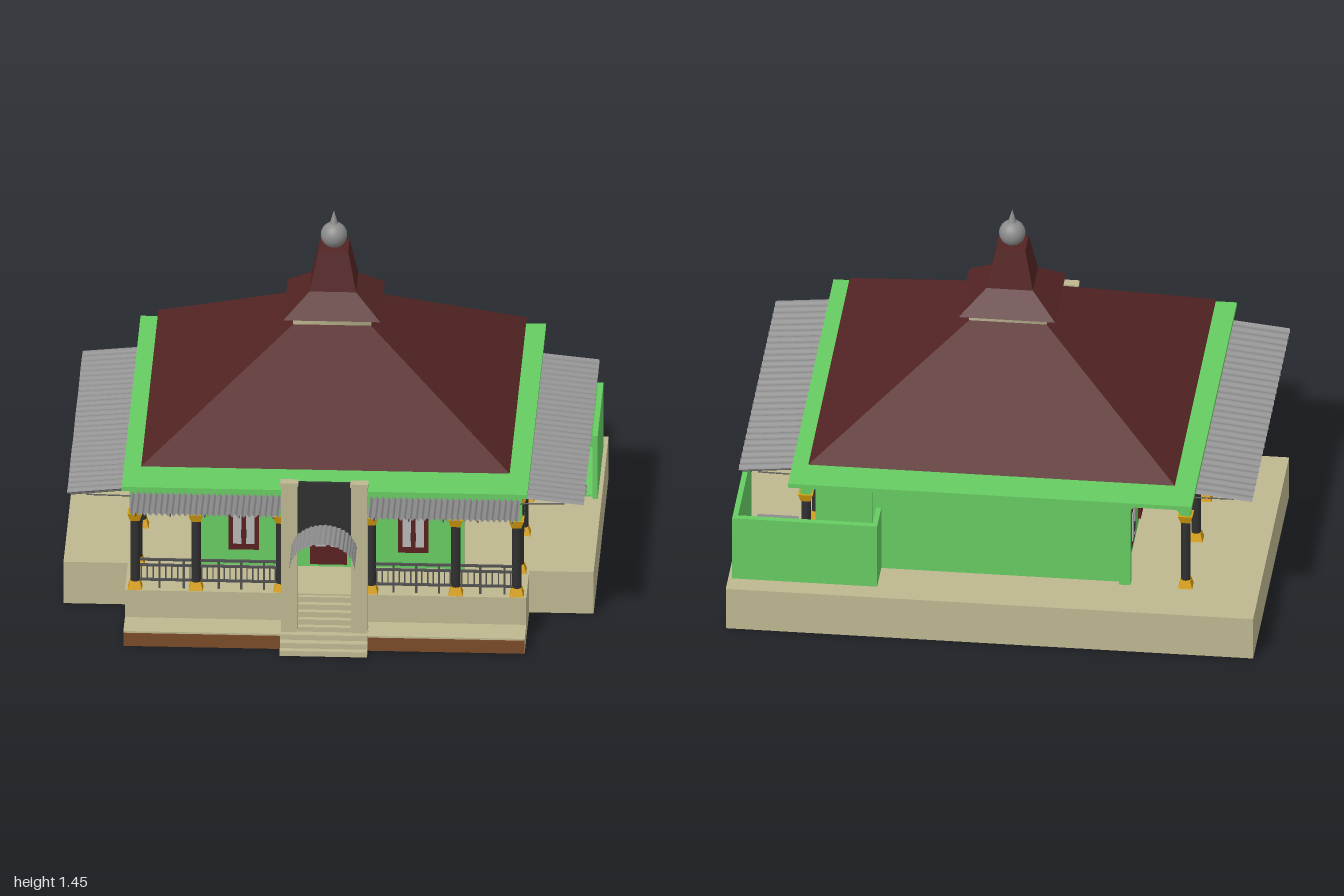
import * as THREE from 'three';

const mat = (color, flat = false) => new THREE.MeshStandardMaterial({ color, flatShading: flat, side: THREE.DoubleSide });
const GREEN = mat(0x66cc62), TAN = mat(0xbdb890), ROOF = mat(0x542424, true), DARK = mat(0x303030),
  GOLD = mat(0xd9a010, true), GREY = mat(0x8c8c8c), BROWN = mat(0x7a4a28), WOOD = mat(0x5a2020),
  PANE = mat(0xb8b8b8), BLUE = mat(0x5f74a0), RAIL = mat(0x505050);

function add(parent, name, geometry, material, x = 0, y = 0, z = 0) {
  const m = new THREE.Mesh(geometry, material);
  m.name = name;
  m.position.set(x, y, z);
  parent.add(m);
  return m;
}

// box given by its limits on each axis
function box(parent, name, material, x0, x1, y0, y1, z0, z1) {
  return add(parent, name, new THREE.BoxGeometry(x1 - x0, y1 - y0, z1 - z0), material,
    (x0 + x1) / 2, (y0 + y1) / 2, (z0 + z1) / 2);
}

// thin bar between two points
function bar(parent, name, a, b, r, material = RAIL) {
  const p = new THREE.Vector3(...a), q = new THREE.Vector3(...b);
  const m = add(parent, name, new THREE.CylinderGeometry(r, r, p.distanceTo(q), 6), material);
  m.position.copy(p).lerp(q, 0.5);
  m.quaternion.setFromUnitVectors(new THREE.Vector3(0, 1, 0), q.sub(p).normalize());
}

// square frustum with half widths a (bottom) and b (top)
function frustum(parent, name, material, a, b, y0, y1, x, z) {
  const g = new THREE.CylinderGeometry(b * Math.SQRT2, a * Math.SQRT2, y1 - y0, 4);
  g.rotateY(Math.PI / 4);
  return add(parent, name, g, material, x, (y0 + y1) / 2, z);
}

function extrude(shape, depth) {
  const g = new THREE.ExtrudeGeometry(shape, { depth, bevelEnabled: false, curveSegments: 16 });
  return g.translate(0, 0, -depth / 2);
}

// group laid along the front (turn 0) or along a side (turn -90 degrees: local x becomes z)
function placed(parent, name, x, z, side) {
  const g = new THREE.Group();
  g.name = name;
  g.position.set(x, 0, z);
  if (side) g.rotation.y = -Math.PI / 2;
  parent.add(g);
  return g;
}

function column(parent, x, z) {
  const g = placed(parent, 'column', x, z);
  frustum(g, 'columnFoot', GOLD, 0.027, 0.018, 0.172, 0.203, 0, 0);
  add(g, 'columnShaft', new THREE.CylinderGeometry(0.018, 0.018, 0.26, 12), DARK, 0, 0.33, 0);
  frustum(g, 'columnCapital', GOLD, 0.018, 0.028, 0.455, 0.487, 0, 0);
}

// wall above the columns with an arch in every bay
function arcade(parent, posts) {
  const n = posts.length, s = new THREE.Shape();
  s.moveTo(posts[0] - 0.02, 0.628);
  s.lineTo(posts[0] - 0.02, 0.485);
  for (let i = 0; i < n - 1; i++) {
    const a = posts[i] + 0.02, b = posts[i + 1] - 0.02;
    s.lineTo(a, 0.485);
    s.absellipse((a + b) / 2, 0.485, (b - a) / 2, 0.047, Math.PI, 0, true);
  }
  s.lineTo(posts[n - 1] + 0.02, 0.485);
  s.lineTo(posts[n - 1] + 0.02, 0.628);
  add(parent, 'arcade', extrude(s, 0.036), GREEN);
}

function railing(parent, a, b) {
  const g = placed(parent, 'railing', 0, 0);
  for (const y of [0.205, 0.265, 0.288]) box(g, 'rail', RAIL, a, b, y - 0.004, y + 0.004, -0.005, 0.005);
  const n = Math.round((b - a) / 0.022);
  for (let i = 1; i < n; i++) {
    const x = a + (b - a) * i / n;
    box(g, 'baluster', RAIL, x - 0.0025, x + 0.0025, 0.205, 0.265, -0.0025, 0.0025);
    if (i % 4 === 0) box(g, 'railPost', RAIL, x - 0.004, x + 0.004, 0.172, 0.288, -0.004, 0.004);
  }
}

// door or window: frame, two panes and a pointed outline above
function opening(parent, name, x, z, side, y0, w) {
  const g = placed(parent, name, x, z, side), h = w / 2, top = 0.41;
  box(g, 'frame', WOOD, -h, h, y0, top, -0.01, 0.01);
  for (const s of [-1, 1]) {
    const c = s * w * 0.21, low = y0 < 0.2 ? 0.26 : y0 + 0.025;
    box(g, 'pane', PANE, c - w * 0.14, c + w * 0.14, low, top - 0.025, -0.013, 0.013);
    box(g, 'handle', DARK, s * 0.008 - 0.002, s * 0.008 + 0.002, 0.29, 0.325, -0.016, 0.016);
  }
  const outline = k => [[-h, 0.41], [-h, 0.43], [0, 0.463], [h, 0.43], [h, 0.41]]
    .map(([u, v]) => new THREE.Vector2(u * k, 0.43 + (v - 0.43) * k));
  const s = new THREE.Shape(outline(1));
  s.holes.push(new THREE.Path(outline(0.84)));
  add(g, 'pointedHead', extrude(s, 0.02), WOOD);
}

// corrugated sheet: ridges along local z, sloping from yIn (z = 0) to yOut (z = depth)
function awning(parent, name, width, depth, yIn, yOut, pitch) {
  const n = Math.round(width / pitch) * 6, g = new THREE.PlaneGeometry(width, depth, n, 1);
  g.rotateX(-Math.PI / 2).translate(0, 0, depth / 2);
  const p = g.attributes.position;
  for (let i = 0; i < p.count; i++) {
    const t = p.getZ(i) / depth;
    p.setY(i, yIn + (yOut - yIn) * t + 0.006 * Math.sin((p.getX(i) / pitch) * Math.PI * 2));
  }
  g.computeVertexNormals();
  const m = add(parent, name, g, GREY);
  for (let i = 0; i <= 4; i++) {
    const x = (i / 4 - 0.5) * (width - 0.05);
    bar(m, 'awningBracket', [x, yIn - 0.012, 0], [x, yOut - 0.012, depth - 0.01], 0.003);
    bar(m, 'awningStrut', [x, yIn - 0.04, 0], [x, yOut - 0.012, depth * 0.7], 0.003);
  }
  return m;
}

export function createModel() {
  const model = new THREE.Group();
  model.name = 'pavilionHall';

  // plinth, lower terrace and stairs
  box(model, 'plinth', TAN, -1, 1, 0, 0.172, -0.865, 0.34);
  box(model, 'frontPlinth', TAN, -0.757, 0.757, 0, 0.172, 0.34, 0.58);
  box(model, 'terrace', TAN, -0.757, 0.757, 0, 0.06, 0.58, 0.705);
  box(model, 'terraceFace', BROWN, -0.757, 0.757, 0, 0.053, 0.705, 0.709);
  [0.77, 0.745, 0.715].forEach((z, i) => box(model, 'wideStep', TAN, -0.165, 0.165, i * 0.021, (i + 1) * 0.021, 0.58, z));
  for (let i = 0; i < 5; i++) box(model, 'step', TAN, -0.1, 0.1, 0.06, 0.082 + i * 0.021, 0.56, 0.685 - i * 0.022);

  // hall with corner piers, and its doors and windows
  box(model, 'hall', GREEN, -0.49, 0.49, 0.172, 0.628, -0.645, 0.335);
  opening(model, 'frontDoor', 0, 0.335, false, 0.185, 0.14);
  for (const s of [-1, 1]) {
    for (const z of [-0.645, 0.335]) box(model, 'cornerPier', GREEN, s * 0.49 - 0.022, s * 0.49 + 0.022, 0.172, 0.628, z - 0.022, z + 0.022);
    opening(model, 'frontWindow', s * 0.32, 0.335, false, 0.24, 0.115);
    opening(model, 'sideWindow', s * 0.49, 0.172, true, 0.24, 0.115);
    opening(model, 'sideDoor', s * 0.49, -0.145, true, 0.195, 0.135);
    opening(model, 'sideWindow', s * 0.49, -0.46, true, 0.24, 0.115);
  }

  // verandah columns, arches and railings
  const frontPosts = [-0.72, -0.49, -0.17, 0.17, 0.49, 0.72], sidePosts = [-0.645, -0.295, 0.005, 0.34, 0.55];
  const front = placed(model, 'frontVerandah', 0, 0.55);
  arcade(front, frontPosts);
  for (const x of frontPosts) column(front, x, 0);
  for (const i of [0, 1, 3, 4]) railing(front, frontPosts[i], frontPosts[i + 1]);
  for (const s of [-1, 1]) {
    const side = placed(model, 'sideVerandah', s * 0.72, 0, true);
    arcade(side, sidePosts);
    for (const z of sidePosts.slice(0, 4)) column(side, z, 0);
    railing(side, 0.005, 0.34);
    railing(side, 0.34, 0.55);
    arcade(placed(model, 'endArch', 0, -0.645), s < 0 ? [-0.72, -0.49] : [0.49, 0.72]);
  }

  // corrugated awnings
  for (const s of [-1, 1]) {
    const a = awning(model, 'sideAwning', 1.275, 0.245, 0.602, 0.577, 0.045);
    a.position.set(s * 0.73, 0, -0.0375);
    a.rotation.y = s * Math.PI / 2;
    awning(model, 'frontAwning', 0.57, 0.165, 0.572, 0.562, 0.022).position.set(s * 0.45, 0, 0.57);
  }

  // eave slab, roof tiers and finial
  box(model, 'eaveSlab', GREEN, -0.765, 0.765, 0.625, 0.642, -0.855, 0.668);
  box(model, 'roofBand', GREEN, -0.645, 0.645, 0.642, 0.7, -0.62, 0.48);
  const rz = -0.1;
  frustum(model, 'mainRoof', ROOF, 0.695, 0.147, 0.695, 1.042, 0, rz);
  frustum(model, 'roofNeck', TAN, 0.147, 0.147, 1.042, 1.076, 0, rz);
  frustum(model, 'upperRoof', ROOF, 0.183, 0.088, 1.074, 1.152, 0, rz);
  frustum(model, 'roofTower', ROOF, 0.088, 0.056, 1.152, 1.305, 0, rz);
  add(model, 'finialBall', new THREE.SphereGeometry(0.05, 24, 16), GREY, 0, 1.35, rz);
  add(model, 'finialSpike', new THREE.ConeGeometry(0.018, 0.06, 16), GREY, 0, 1.42, rz);

  // entrance gate with dark board, arched canopy and handrails
  const gate = placed(model, 'gate', 0, 0);
  for (const s of [-1, 1]) {
    const x = s * 0.132;
    box(gate, 'gatePillar', TAN, x - 0.031, x + 0.031, 0.06, 0.67, 0.662, 0.69);
    box(gate, 'gatePillarCap', TAN, x - 0.034, x + 0.034, 0.67, 0.683, 0.657, 0.695);
    for (const d of [0, 0.04, 0.08]) bar(gate, 'handrail', [x, 0.2 - d, 0.66], [x, 0.29 - d, 0.57], 0.004);
    for (const t of [0, 0.33, 0.66, 1]) bar(gate, 'handrailPost', [x, 0.06 + t * 0.1, 0.66 - t * 0.09], [x, 0.2 + t * 0.09, 0.66 - t * 0.09], 0.004);
  }
  const board = new THREE.Shape();
  board.moveTo(-0.102, 0.68);
  board.lineTo(-0.102, 0.42);
  board.absellipse(0, 0.42, 0.102, 0.075, Math.PI, 0, true);
  board.lineTo(0.102, 0.68);
  add(gate, 'gateBoard', extrude(board, 0.016), DARK, 0, 0, 0.674);
  const arc = new THREE.PlaneGeometry(1, 0.175, 120, 1);
  arc.rotateX(-Math.PI / 2);
  const p = arc.attributes.position;
  for (let i = 0; i < p.count; i++) {
    const u = p.getX(i) + 0.5, a = Math.PI * (1 - u), k = 1 + 0.02 * Math.sin(u * Math.PI * 40);
    p.setX(i, 0.122 * k * Math.cos(a));
    p.setY(i, 0.1 * k * Math.sin(a));
  }
  arc.computeVertexNormals();
  add(gate, 'archedCanopy', arc, GREY, 0, 0.41, 0.777);

  // open-topped washing area at the back corner
  const wash = placed(model, 'washArea', 0, 0);
  box(wash, 'backWall', GREEN, 0.435, 0.985, 0.172, 0.435, -0.785, -0.76);
  box(wash, 'outerWall', GREEN, 0.965, 0.985, 0.172, 0.435, -0.76, -0.31);
  box(wash, 'shortWall', GREEN, 0.435, 0.455, 0.172, 0.435, -0.76, -0.645);
  box(wash, 'frontWall', GREEN, 0.49, 0.72, 0.172, 0.435, -0.33, -0.31);
  box(wash, 'tiling', BLUE, 0.455, 0.75, 0.19, 0.4, -0.76, -0.756);
  box(wash, 'washFloor', GREEN, 0.75, 0.965, 0.172, 0.178, -0.76, -0.33);
  box(wash, 'doorStep', GREY, 0.785, 0.94, 0.172, 0.19, -0.4, -0.33);

  return model;
}
